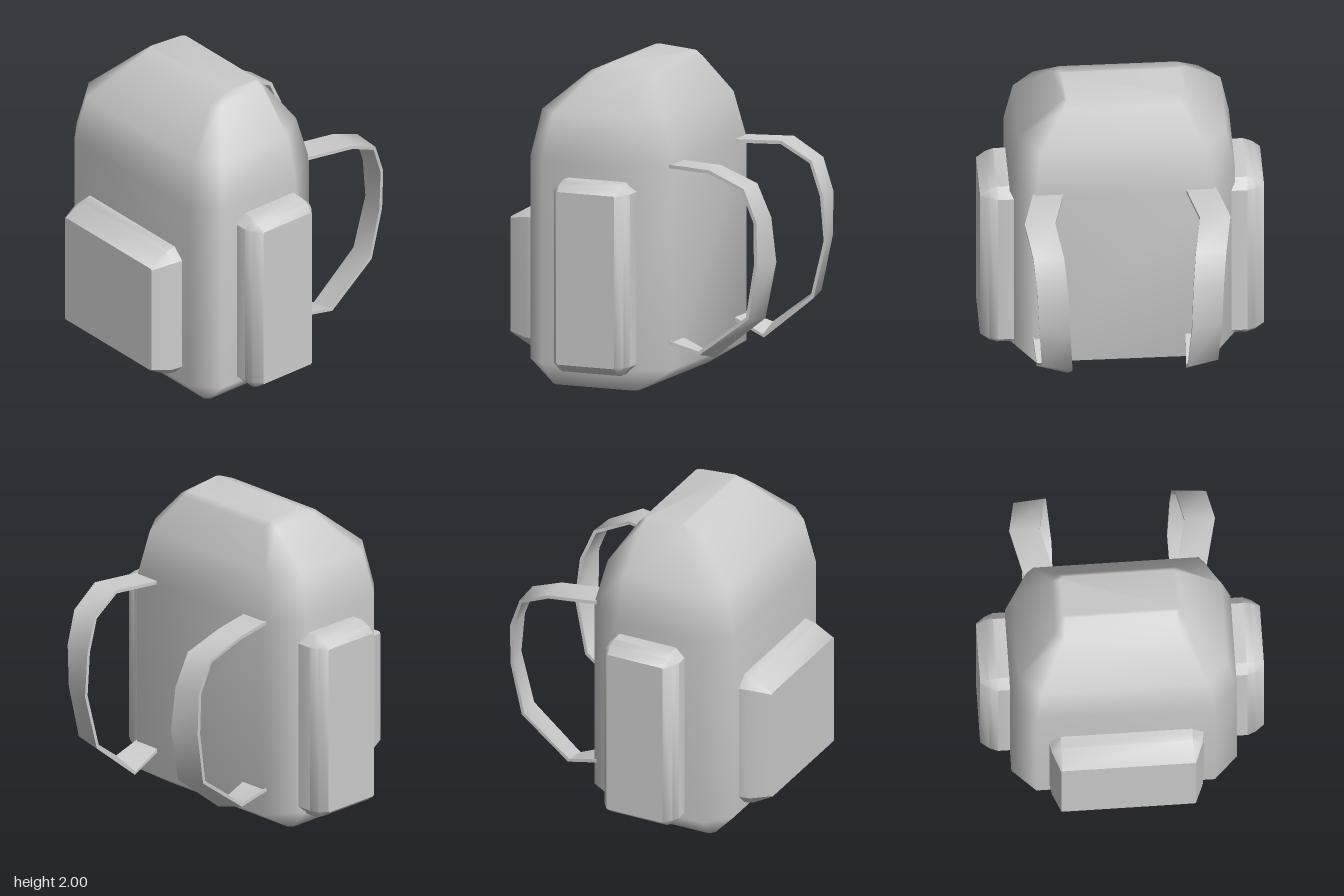
import * as THREE from 'three';
import { toCreasedNormals } from 'three/addons/utils/BufferGeometryUtils.js';

const material = new THREE.MeshStandardMaterial({ color: 0xcccccc });

// Skin a list of equal-length rings (counter-clockwise seen from the last ring) and cap both ends.
function loft(rings, crease) {
  const n = rings[0].length, index = [], last = (rings.length - 1) * n;
  for (let r = 0; r < rings.length - 1; r++) {
    for (let i = 0; i < n; i++) {
      const a = r * n + i, b = r * n + (i + 1) % n;
      index.push(a, b, b + n, a, b + n, a + n);
    }
  }
  for (let i = 1; i < n - 1; i++) {
    index.push(0, i + 1, i, last, last + i, last + i + 1);
  }
  const geo = new THREE.BufferGeometry();
  geo.setAttribute('position', new THREE.Float32BufferAttribute(rings.flat(2), 3));
  geo.setIndex(index);
  geo.computeVertexNormals();
  return crease ? toCreasedNormals(geo, crease) : geo;
}

// Rectangle with cut corners in the XY plane; cuts are cx wide, cLow / cHigh tall.
function octagon(hx, y0, y1, z, cx, cLow, cHigh) {
  return [
    [hx, y0 + cLow, z], [hx, y1 - cHigh, z], [hx - cx, y1, z], [cx - hx, y1, z],
    [-hx, y1 - cHigh, z], [-hx, y0 + cLow, z], [cx - hx, y0, z], [hx - cx, y0, z],
  ];
}

function part(name, geo) {
  const mesh = new THREE.Mesh(geo, material);
  mesh.name = name;
  return mesh;
}

// Main bag, lofted upward: height, half width, front z, back z, corner cuts
function body() {
  const rings = [
    [0, 0.55, 0.55, -0.03, 0.03, 0.03, 0.03],
    [0.15, 0.695, 0.69, -0.27, 0.145, 0.14, 0.23],
    [1.42, 0.695, 0.69, -0.27, 0.145, 0.14, 0.23],
    [1.71, 0.64, 0.63, -0.2, 0.13, 0.13, 0.18],
    [1.945, 0.41, 0.37, -0.06, 0.05, 0.05, 0.04],
    [1.995, 0.36, 0.25, -0.03, 0.02, 0.02, 0.02],
  ].map(([y, hx, front, back, cx, cf, cb]) => octagon(hx, -front, -back, y, cx, cf, cb));
  const geo = loft(rings).rotateX(-Math.PI / 2);
  // The top slopes down slightly towards the back
  const p = geo.attributes.position;
  for (let i = 0; i < p.count; i++) {
    if (p.getY(i) > 1.99) p.setY(i, p.getZ(i) > 0.1 ? 2 : 1.98);
  }
  geo.computeVertexNormals();
  return part('bagBody', geo);
}

// Padded pocket bulging along +z, standing on y = 0
function pocketGeometry(width, height, cut, profile) {
  return loft(profile.map(([z, inset, insetY = inset]) => octagon(
    width / 2 - inset, insetY, height - insetY, z,
    Math.max(cut - inset, 0.008), Math.max(cut - insetY, 0.008), Math.max(cut - insetY, 0.008))), 0.75);
}

// Shoulder strap: y, z of the outer edge, x centre, tilt of the inner edge
function strap(name, side) {
  const path = [
    [1.425, -0.25, 0.47, 0], [1.425, -0.55, 0.54, 0], [1.32, -0.76, 0.5, 0.01],
    [1.12, -0.835, 0.48, 0.015], [0.85, -0.835, 0.47, 0.045], [0.51, -0.77, 0.45, 0.035],
    [0.27, -0.45, 0.46, 0.05], [0.32, -0.25, 0.47, 0],
  ];
  const half = 0.094, thick = 0.011;
  const rings = path.map(([y, z, x, tilt], i) => {
    const a = path[Math.max(i - 1, 0)], b = path[Math.min(i + 1, path.length - 1)];
    const len = Math.hypot(b[0] - a[0], b[1] - a[1]);
    const ny = -(b[1] - a[1]) / len, nz = (b[0] - a[0]) / len;
    const corner = (across, out) => {
      const d = out * thick + (across > 0 ? tilt : 0);
      return [side * (x - across * half), y + ny * d, z + nz * d];
    };
    const ring = [corner(-1, -1), corner(1, -1), corner(1, 1), corner(-1, 1)];
    return side > 0 ? ring : ring.reverse();
  });
  return part(name, loft(rings, 0.8));
}

export function createModel() {
  const group = new THREE.Group();
  group.name = 'backpack';
  group.add(body());

  // Front pocket
  const front = part('frontPocket', pocketGeometry(0.95, 0.895, 0.07,
    [[-0.02, 0], [0.01, 0], [0.07, 0.01, 0.015], [0.195, 0.06, 0.085]]));
  front.position.set(0.005, 0.19, 0.69);
  group.add(front);

  // Side pockets and straps
  for (const [label, side] of [['left', 1], ['right', -1]]) {
    const pocket = part(label + 'SidePocket', pocketGeometry(0.51, 1.2, 0.06,
      [[-0.02, 0], [0.08, 0], [0.13, 0.02], [0.185, 0.06]]));
    pocket.position.set(side * 0.69, 0.13, 0.175);
    pocket.rotation.y = side * Math.PI / 2;
    group.add(pocket, strap(label + 'ShoulderStrap', side));
  }
  return group;
}
